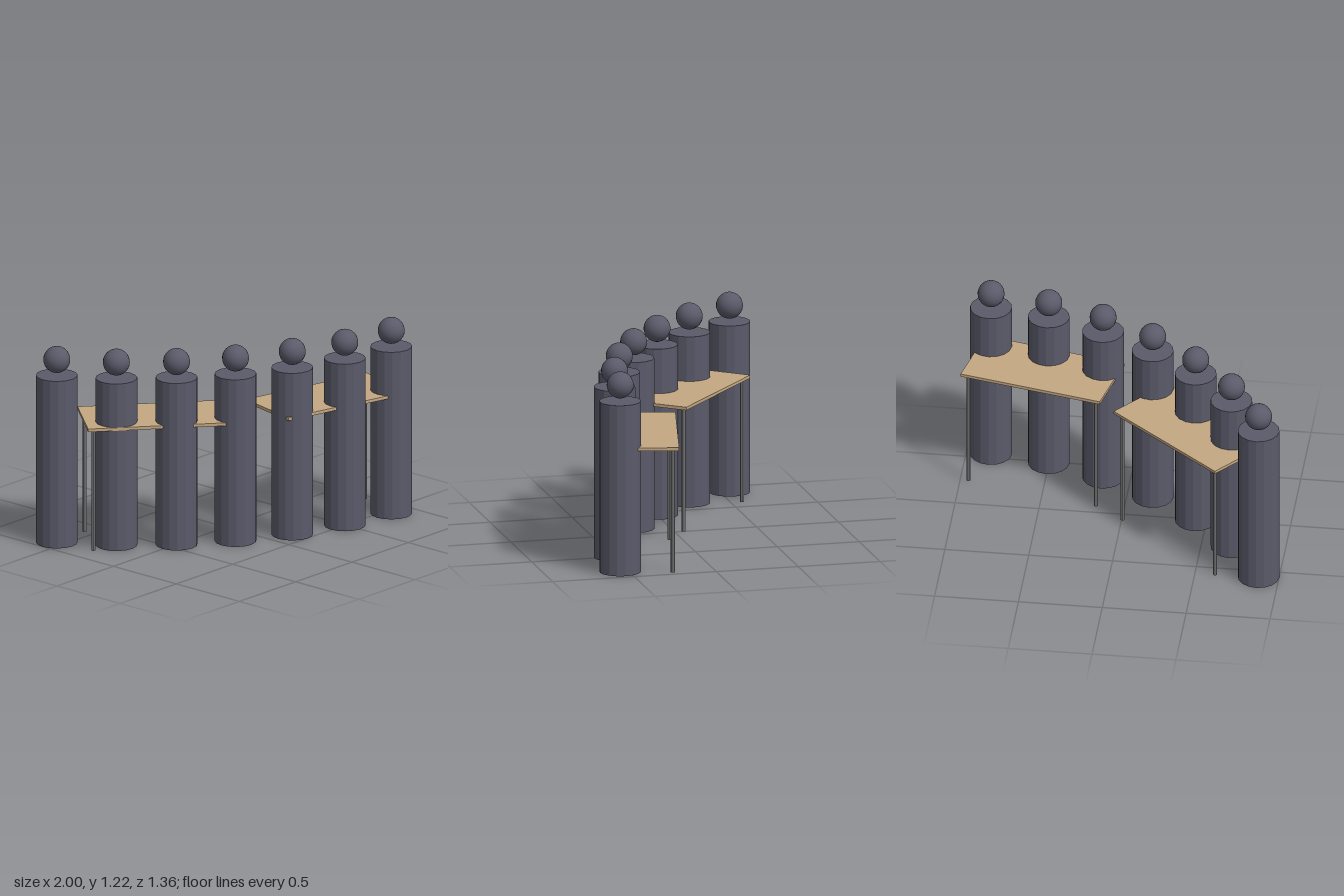
import * as THREE from 'three';

const mat = (name, color, flatShading = false) => {
  const m = new THREE.MeshStandardMaterial({ color, flatShading });
  m.name = name;
  return m;
};

export function createModel() {
  const group = new THREE.Group();
  const slate = mat('slate body', 0x5a5a6a, true);
  const slateHead = slate.clone();
  slateHead.flatShading = false;
  slateHead.name = 'slate head';
  const wood = mat('pale wood', 0xc4a882);
  const steel = mat('grey metal', 0x888888, true);

  const add = (parent, name, geometry, material, x, y, z) => {
    const mesh = new THREE.Mesh(geometry, material);
    mesh.name = name;
    mesh.position.set(x, y, z);
    parent.add(mesh);
  };

  // Standing figures along an arc: plain cylinder with a floating ball head
  const bodyGeo = new THREE.CylinderGeometry(0.124, 0.124, 1.04, 16);
  const headGeo = new THREE.SphereGeometry(0.08, 20, 14);
  const spots = [
    [-0.878, -0.558], [-0.68, -0.262], [-0.435, -0.003], [-0.152, 0.212],
    [0.164, 0.38], [0.502, 0.495], [0.853, 0.55],
  ];
  for (const [x, z] of spots) {
    const figure = new THREE.Group();
    figure.name = 'figure';
    figure.position.set(x, 0, z);
    add(figure, 'body', bodyGeo, slate, 0, 0.52, 0);
    add(figure, 'head', headGeo, slateHead, 0, 1.137, 0);
    group.add(figure);
  }

  // Two tables with thin tops and slim legs inset from the corners
  const W = 0.875, D = 0.434, inset = 0.037;
  const topGeo = new THREE.BoxGeometry(W, 0.019, D);
  const legGeo = new THREE.CylinderGeometry(0.0125, 0.0125, 0.75, 8);
  for (const [x, z, turn] of [[-0.428, -0.173, -0.696], [0.52, 0.34, -0.224]]) {
    const table = new THREE.Group();
    table.name = 'table';
    table.position.set(x, 0, z);
    table.rotation.y = turn;
    add(table, 'tableTop', topGeo, wood, 0, 0.759, 0);
    for (const sx of [-1, 1]) for (const sz of [-1, 1]) {
      add(table, 'tableLeg', legGeo, steel, sx * (W / 2 - inset), 0.375, sz * (D / 2 - inset));
    }
    group.add(table);
  }
  return group;
}
